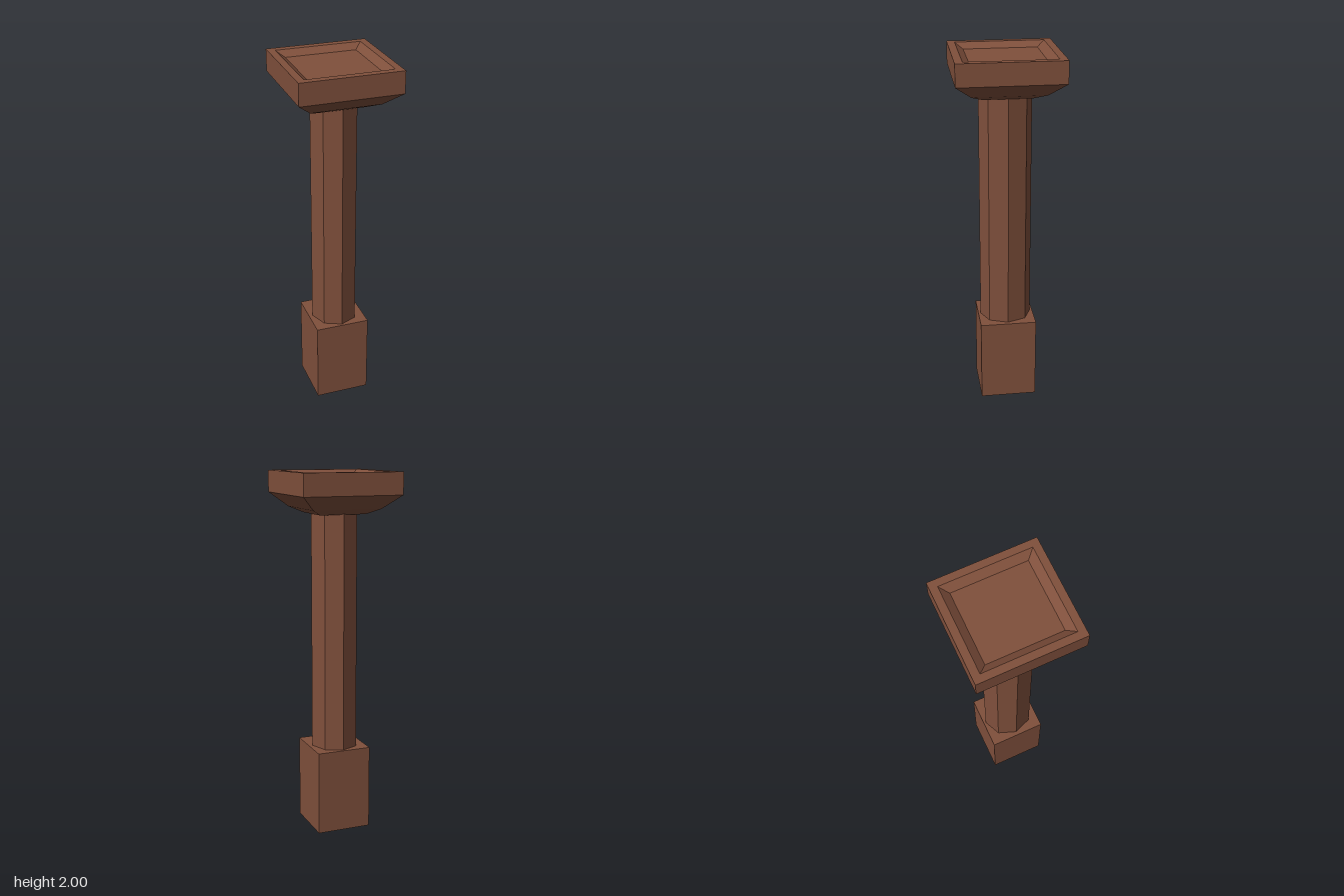
import * as THREE from 'three';

export function createModel() {
  const model = new THREE.Group();
  const material = new THREE.MeshStandardMaterial({ color: 0x80503c, flatShading: true });

  const add = (name, geometry, y = 0) => {
    const mesh = new THREE.Mesh(geometry, material);
    mesh.name = name;
    mesh.position.y = y;
    model.add(mesh);
    return mesh;
  };

  // Square foot block
  add('base', new THREE.BoxGeometry(0.306, 0.47, 0.314), 0.235);

  // Eight-sided shaft, slightly deeper than wide
  const shaft = new THREE.CylinderGeometry(1, 1, 1.31, 8);
  shaft.scale(0.132, 1, 0.144);
  add('shaft', shaft, 1.125);

  // Square capital: half-width and height from underside, up the bevels, into the tray
  const profile = [
    [0, 1.775], [0.13, 1.775], [0.193, 1.805], [0.278, 1.88], [0.278, 2],
    [0.238, 2], [0.197, 1.97], [0, 1.97],
  ].map(([half, y]) => new THREE.Vector2(half * Math.SQRT2, y));
  const capital = new THREE.LatheGeometry(profile, 4, Math.PI / 4);
  capital.scale(1, 1, 1.025);
  add('capital', capital);

  return model;
}
